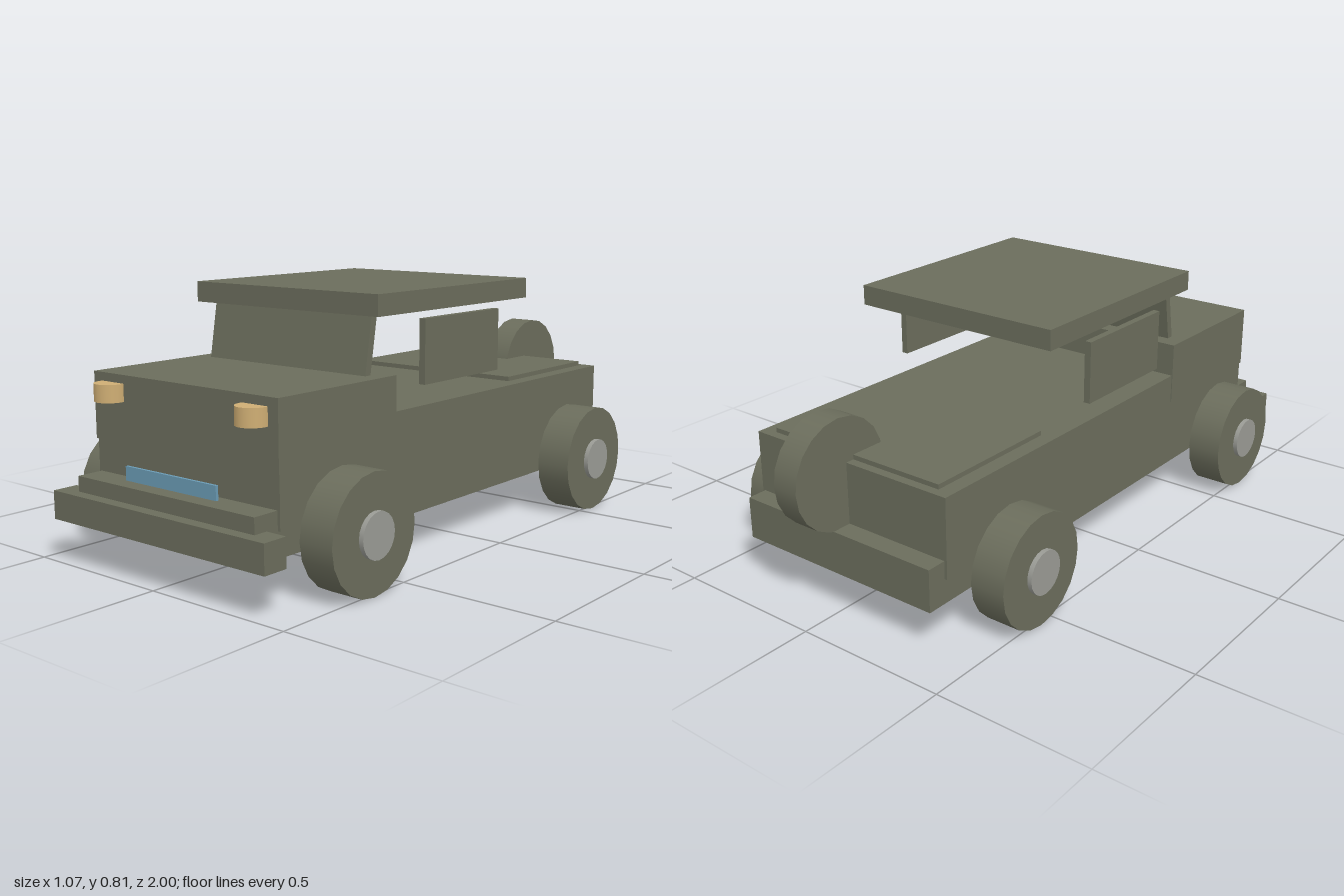
import * as THREE from 'three';

export function createModel() {
  const model = new THREE.Group();
  const mat = (name, color) => {
    const m = new THREE.MeshStandardMaterial({ color });
    m.name = name;
    return m;
  };
  const olive = mat('olive paint', 0x6b6d5c);
  const amber = mat('amber lamp', 0xcfae74);
  const blue = mat('blue plate', 0x6a9ab4);
  const grey = mat('hub grey', 0x9a9b95);

  const add = (name, geometry, material) => {
    const mesh = new THREE.Mesh(geometry, material);
    mesh.name = name;
    model.add(mesh);
    return mesh;
  };
  // Box given by its extents along each axis
  const box = (name, [x0, x1], [y0, y1], [z0, z1], material = olive) => {
    const mesh = add(name, new THREE.BoxGeometry(x1 - x0, y1 - y0, z1 - z0), material);
    mesh.position.set((x0 + x1) / 2, (y0 + y1) / 2, (z0 + z1) / 2);
    return mesh;
  };
  // Disc with its axis along x
  const disc = (name, radius, [x0, x1], y, z, material = olive) => {
    const geometry = new THREE.CylinderGeometry(radius, radius, x1 - x0, 20).rotateZ(Math.PI / 2);
    const mesh = add(name, geometry, material);
    mesh.position.set((x0 + x1) / 2, y, z);
    return mesh;
  };

  // Lower structure
  box('chassis', [-0.365, 0.365], [0.135, 0.27], [-0.867, 0.962]);
  box('frontBumper', [-0.436, 0.436], [0.134, 0.222], [0.917, 1.0]);
  box('body', [-0.374, 0.374], [0.213, 0.466], [-0.802, 0.874]);
  box('hood', [-0.377, 0.377], [0.37, 0.575], [0.378, 0.879]);
  box('rearDeck', [-0.325, 0.325], [0.46, 0.481], [-0.773, -0.302]);

  // Raked windshield, leaning back towards the roof
  const windshield = new THREE.BoxGeometry(0.644, 0.19, 0.024);
  const p = windshield.attributes.position;
  for (let i = 0; i < p.count; i++) p.setZ(i, p.getZ(i) - p.getY(i) * 0.17);
  windshield.computeVertexNormals();
  add('windshield', windshield, olive).position.set(0, 0.663, 0.428);

  box('roof', [-0.373, 0.373], [0.751, 0.816], [-0.325, 0.459]);

  // Paired side panels and headlights
  for (const s of [-1, 1]) {
    box('sidePanel', [s * 0.377 - 0.011, s * 0.377 + 0.011], [0.531, 0.73], [-0.138, 0.254]);
    const lamp = add('headlight', new THREE.CylinderGeometry(0.049, 0.049, 0.054, 20), amber);
    lamp.position.set(s * 0.292, 0.522, 0.888);
  }
  box('frontPlate', [-0.187, 0.187], [0.277, 0.32], [0.919, 0.928], blue);

  // Wheels with hubs
  for (const s of [-1, 1]) {
    for (const z of [0.653, -0.557]) {
      const span = (a, b) => (s > 0 ? [a, b] : [-b, -a]);
      disc('wheel', 0.179, span(0.404, 0.519), 0.181, z);
      disc('hub', 0.069, span(0.5, 0.534), 0.181, z, grey);
    }
  }
  disc('spareWheel', 0.174, [0, 0.088], 0.438, -0.826);
  return model;
}
